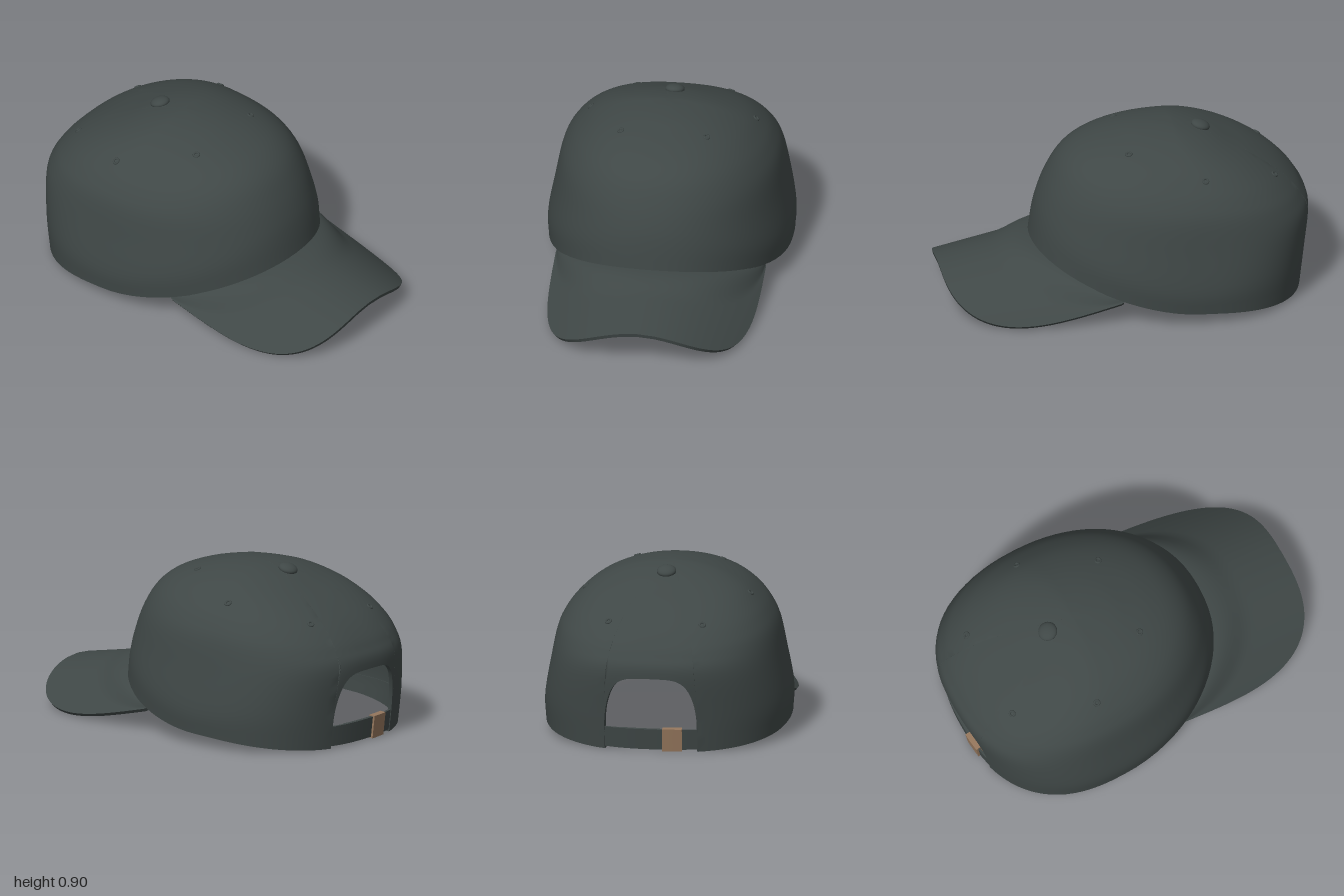
import * as THREE from 'three';
import { toCreasedNormals } from 'three/addons/utils/BufferGeometryUtils.js';

const mat = (name, color) => Object.assign(new THREE.MeshStandardMaterial({ color }), { name });
const V = (x, y, z) => new THREE.Vector3(x, y, z);

// Crown rings from rim to apex: front z,y | back z,y | side x,y,z
const RINGS = [
  [0.49, 0.29, -0.95, 0.005, 0.65, 0.075, -0.33],
  [0.47, 0.42, -0.975, 0.22, 0.655, 0.2, -0.33],
  [0.445, 0.52, -1.0, 0.44, 0.62, 0.4, -0.33],
  [0.4, 0.63, -0.965, 0.53, 0.585, 0.575, -0.33],
  [0.335, 0.735, -0.91, 0.6, 0.54, 0.665, -0.33],
  [0.25, 0.805, -0.83, 0.67, 0.485, 0.73, -0.33],
  [0.14, 0.85, -0.72, 0.74, 0.4, 0.8, -0.32],
  [0.02, 0.88, -0.6, 0.8, 0.275, 0.86, -0.3],
  [-0.1, 0.9, -0.45, 0.865, 0.135, 0.895, -0.28],
  [-0.28, 0.904, -0.28, 0.904, 0, 0.904, -0.28],
];
const TOP = RINGS.length - 1;
const r8 = RINGS[TOP - 1];
const below = RINGS[0].map((v, k) => 2 * v - RINGS[1][k]);
const beyond = [r8[2], r8[3], r8[0], r8[1], -r8[4], r8[5], r8[6]];
const ringAt = (i) => (i < 0 ? below : i > TOP ? beyond : RINGS[i]);

// Smooth interpolation between rings
function ring(t) {
  const i = Math.min(Math.floor(t), TOP - 1), f = t - i;
  const [a, b, c, d] = [-1, 0, 1, 2].map((k) => ringAt(i + k));
  return b.map((_, k) => b[k] + 0.5 * f * (c[k] - a[k]
    + f * (2 * a[k] - 5 * b[k] + 4 * c[k] - d[k] + f * (3 * (b[k] - c[k]) + d[k] - a[k]))));
}

// Point on the crown: angle a (0 = front, +x at PI/2), ring height t
function crownPoint(a, t) {
  const [zf, yf, zb, yb, xs, ys, zs] = ring(t);
  const front = Math.cos(a) >= 0, e = 2 / (front ? 2.1 : 2.4);
  const c = Math.abs(Math.cos(a)) ** e, s = Math.sign(Math.sin(a)) * Math.abs(Math.sin(a)) ** e;
  return V(xs * s,
    front ? ys + (yf - ys) * c ** 1.6 : ys + (yb - ys) * c ** 1.3,
    zs + ((front ? zf : zb) - zs) * c);
}

// Solid sheet over a grid of points, between depths d0 and d1 below the surface
function shell(C, R, fn, d0, d1, wrap = false) {
  const n = wrap ? C : C + 1, w = R + 1, count = n * w;
  const pts = [], top = [], all = [];
  for (let i = 0; i < n; i++) for (let j = 0; j <= R; j++) pts.push(fn(i, j));
  const id = (i, j) => (i % n) * w + j;
  const quad = (a, b, c, d) => [a, b, c, a, c, d];
  for (let i = 0; i < C; i++) for (let j = 0; j < R; j++) {
    top.push(...quad(id(i, j), id(i + 1, j), id(i + 1, j + 1), id(i, j + 1)));
  }
  const base = new THREE.BufferGeometry().setFromPoints(pts);
  base.setIndex(top);
  base.computeVertexNormals();
  const nrm = pts.map((_, k) => new THREE.Vector3().fromBufferAttribute(base.attributes.normal, k));
  const layer = (d) => pts.map((p, k) => p.clone().addScaledVector(nrm[k], -d));
  all.push(...top);
  for (let k = 0; k < top.length; k += 3) all.push(top[k] + count, top[k + 2] + count, top[k + 1] + count);
  const side = (a, b) => all.push(...quad(a, b, b + count, a + count));
  for (let i = 0; i < C; i++) {
    side(id(i + 1, 0), id(i, 0));
    side(id(i, R), id(i + 1, R));
  }
  if (!wrap) for (let j = 0; j < R; j++) {
    side(id(0, j), id(0, j + 1));
    side(id(C, j + 1), id(C, j));
  }
  const geo = new THREE.BufferGeometry().setFromPoints([...layer(d0), ...layer(d1)]);
  geo.setIndex(all);
  return toCreasedNormals(geo, 0.9);
}

// Patch of the crown between two angles and two heights
const patch = (a0, a1, t0, t1, C, R, d0, d1) => shell(C, R,
  (i, j) => crownPoint(a0 + (a1 - a0) * i / C, t0 + (t1 - t0) * j / R), d0, d1);

// Crown position and normal above a given x, z
function onCrown(x, z) {
  let best = Infinity, a = 0, t = 0;
  for (let i = 0; i < 240; i++) for (let j = 0; j < 90; j++) {
    const u = i * Math.PI / 120, v = 2.5 + j * 6.45 / 90, p = crownPoint(u, v);
    const d = (p.x - x) ** 2 + (p.z - z) ** 2;
    if (d < best) { best = d; a = u; t = v; }
  }
  const p = crownPoint(a, t);
  const da = crownPoint(a + 0.02, t).sub(crownPoint(a - 0.02, t));
  const dt = crownPoint(a, t + 0.04).sub(crownPoint(a, t - 0.04));
  return { p, n: da.cross(dt).normalize() };
}

export function createModel() {
  const cap = new THREE.Group();
  cap.name = 'cap';
  const cloth = mat('charcoal cloth', 0x3f4746);
  const brass = mat('tan buckle', 0x94765c);
  const add = (name, geo, m = cloth) => {
    const mesh = new THREE.Mesh(geo, m);
    mesh.name = name;
    cap.add(mesh);
    return mesh;
  };

  // Crown with an arched opening at the back
  const HOLE = 0.324, ARCH = 1.85, N = 72, H = 28, cols = [];
  for (let i = 0; i <= N; i++) cols.push([(Math.PI - HOLE) * (2 * i / N - 1), 0]);
  for (let k = 1; k < H; k++) {
    const f = Math.PI * k / H, c = Math.cos(f), e = 2 / 3.5;
    cols.push([Math.PI - HOLE * Math.sign(c) * Math.abs(c) ** e, ARCH * Math.sin(f) ** e]);
  }
  const ROWS = 40;
  add('crown', shell(cols.length, ROWS, (i, j) => {
    const [a, t0] = cols[i];
    return crownPoint(a, t0 + (TOP - t0) * j / ROWS);
  }, 0, 0.02, true));

  // Sweatband inside the rim
  const reach = Math.PI - HOLE - 0.03;
  add('sweatband', patch(-reach, reach, 0.04, 0.8, 72, 4, 0.019, 0.026));

  // Curved brim, from its outer edge in to the front rim
  const brimY = (x, z) => 0.295 - (z - 0.49) * 0.19 - (0.72 + 0.2 * z) * x * x;
  const BC = 64, BR = 16;
  add('brim', shell(BC, BR, (i, j) => {
    const u = 2 * i / BC - 1, v = 1 - j / BR, al = u * Math.PI / 2, e = 2 / 3.3;
    const rim = crownPoint(u * 1.06, 0);
    const ox = 0.565 * Math.sign(u) * Math.abs(Math.sin(al)) ** e;
    const oz = 0.1 + 0.89 * Math.max(Math.cos(al), 0) ** e;
    const x = THREE.MathUtils.lerp(rim.x * 0.98, ox, v);
    const z = THREE.MathUtils.lerp(rim.z - 0.012, oz, v);
    const k = THREE.MathUtils.smoothstep(v, 0, 0.4);
    return V(x, THREE.MathUtils.lerp(rim.y + 0.008, brimY(x, z), k), z);
  }, 0, 0.02));

  // Back strap, its overlapping end and the buckle
  const B = Math.PI;
  add('strap', patch(B - 0.37, B + 0.37, 0.06, 0.58, 24, 4, 0.004, 0.016));
  add('strapEnd', patch(B - 0.19, B + 0.1, 0.06, 0.58, 12, 4, 0.015, 0.021));
  add('buckle', patch(B + 0.063, B + 0.2, 0.03, 0.61, 6, 4, -0.007, 0.026), brass);
  const hole = add('buckleHole', new THREE.CylinderGeometry(0.021, 0.021, 0.009, 16));
  hole.rotation.x = Math.PI / 2;
  hole.position.set(-0.13, 0.075, -0.923);

  // Top button and six eyelets, seated on the crown
  const up = V(0, 1, 0);
  const seat = (mesh, x, z) => {
    const { p, n } = onCrown(x, z);
    mesh.position.copy(p);
    mesh.quaternion.setFromUnitVectors(up, n);
  };
  const button = add('button', new THREE.SphereGeometry(0.052, 24, 14).scale(1, 0.5, 1));
  seat(button, 0, -0.43);
  button.position.y += 0.006;
  const eyelet = new THREE.TorusGeometry(0.014, 0.006, 8, 18).rotateX(Math.PI / 2);
  for (const [x, z] of [[0.23, 0], [0.445, -0.375], [0.25, -0.79]]) {
    for (const s of [-1, 1]) seat(add('eyelet', eyelet), s * x, z);
  }
  return cap;
}
